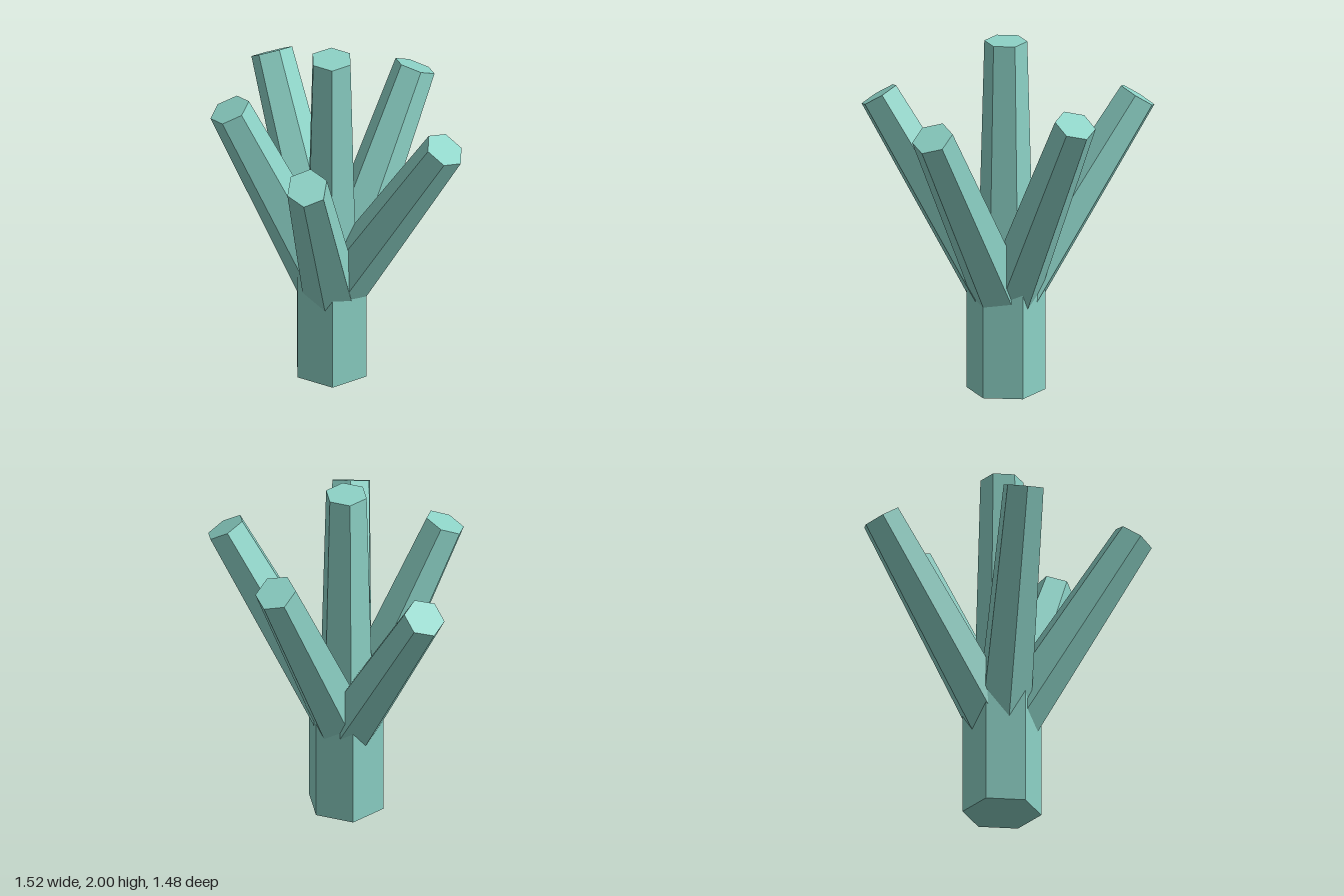
import * as THREE from 'three';

// Stylised six-sided plant: a straight trunk, a central shoot and a ring of tilted branches.
export function createModel() {
  const model = new THREE.Group();
  model.name = 'branchingPlant';

  const teal = new THREE.MeshStandardMaterial({ color: 0x8dd3c7 });
  teal.name = 'teal';
  teal.flatShading = true;

  const plant = new THREE.Group();
  plant.name = 'plant';
  plant.position.set(-0.047, 0, -0.044);
  model.add(plant);

  // Hexagonal prism standing on its base, with corners pointing along x
  function hexPrism(name, topRadius, baseRadius, length) {
    const geometry = new THREE.CylinderGeometry(topRadius, baseRadius, length, 6);
    geometry.rotateY(Math.PI / 2).translate(0, length / 2, 0);
    const mesh = new THREE.Mesh(geometry, teal);
    mesh.name = name;
    plant.add(mesh);
    return mesh;
  }

  const forkY = 0.46;
  hexPrism('trunk', 0.217, 0.217, 0.67);
  hexPrism('centralShoot', 0.118, 0.159, 2 - forkY).position.y = forkY;

  // Branches: [name, horizontal reach, height of the tip centre], 72 degrees apart
  const branches = [
    ['leftBranch', 0.705, 1.63],
    ['frontBranch', 0.725, 1.623],
    ['frontRightBranch', 0.562, 1.718],
    ['backRightBranch', 0.764, 1.605],
    ['backBranch', 0.628, 1.678],
  ];
  branches.forEach(([name, reach, tipY], i) => {
    const rise = tipY - forkY;
    const branch = hexPrism(name, 0.116, 0.159, Math.hypot(reach, rise));
    branch.geometry.rotateZ(-Math.atan2(reach, rise));
    branch.geometry.rotateY((-i * 2 * Math.PI) / branches.length);
    branch.position.y = forkY;
  });

  return model;
}
